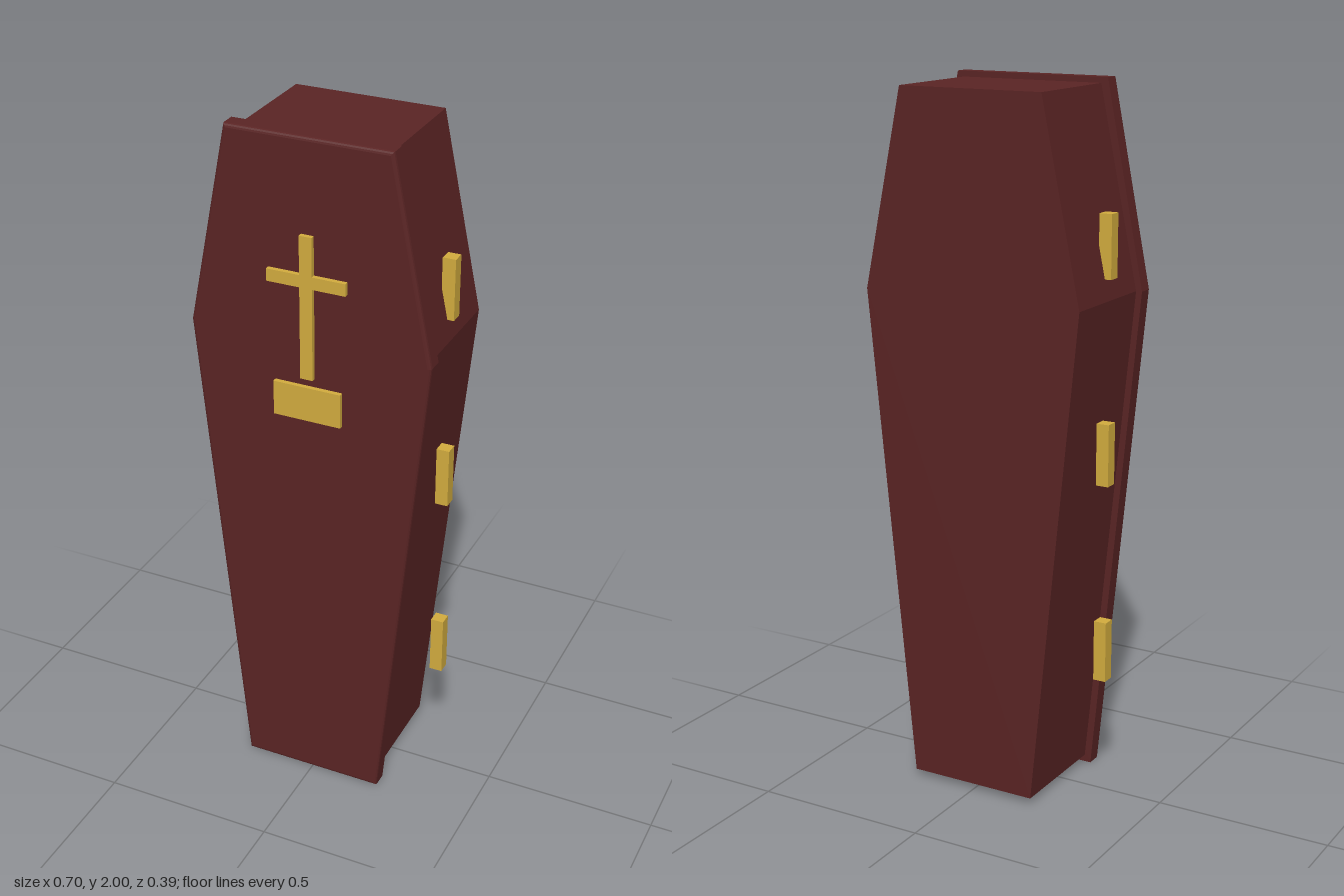
import * as THREE from 'three';

// Six-sided outline, counter-clockwise, from half-widths at foot, shoulder and head.
function outline(foot, shoulder, head, y0, y1, y2) {
  return [[-foot, y0], [foot, y0], [shoulder, y1], [head, y2], [-head, y2], [-shoulder, y1]]
    .map(([x, y]) => new THREE.Vector2(x, y));
}

// Move every side of a convex outline inwards by d.
function inset(points, d) {
  const n = points.length;
  return points.map((p, i) => {
    const a = p.clone().sub(points[(i + n - 1) % n]).normalize();
    const b = points[(i + 1) % n].clone().sub(p).normalize();
    const na = new THREE.Vector2(-a.y, a.x), nb = new THREE.Vector2(-b.y, b.x);
    return p.clone().addScaledVector(na.clone().add(nb), d / (1 + na.dot(nb)));
  });
}

// Closed solid through rings of [inset, z], ordered back to front, with crisp facets.
function loft(points, rings) {
  const loops = rings.map(([d, z]) => inset(points, d).map(p => [p.x, p.y, z]));
  const n = points.length, pos = [];
  const tri = (a, b, c) => pos.push(...a, ...b, ...c);
  for (let r = 0; r < loops.length - 1; r++) {
    for (let i = 0; i < n; i++) {
      const j = (i + 1) % n, lo = loops[r], hi = loops[r + 1];
      tri(lo[i], lo[j], hi[j]);
      tri(lo[i], hi[j], hi[i]);
    }
  }
  const back = loops[0], front = loops[loops.length - 1];
  for (let i = 1; i < n - 1; i++) {
    tri(back[0], back[i + 1], back[i]);
    tri(front[0], front[i], front[i + 1]);
  }
  const g = new THREE.BufferGeometry();
  g.setAttribute('position', new THREE.Float32BufferAttribute(pos, 3));
  g.computeVertexNormals();
  return g;
}

export function createModel() {
  const model = new THREE.Group();
  model.name = 'coffin';
  const wood = new THREE.MeshStandardMaterial({ name: 'dark red wood', color: 0x5a2424 });
  const gold = new THREE.MeshStandardMaterial({ name: 'gold', color: 0xd2ac3e });

  const add = (name, geometry, material, parent = model) => {
    const mesh = new THREE.Mesh(geometry, material);
    mesh.name = name;
    parent.add(mesh);
    return mesh;
  };
  const box = (name, w, h, d, x, y, z, parent) =>
    add(name, new THREE.BoxGeometry(w, h, d), gold, parent).position.set(x, y, z);

  // Body
  add('body', loft(outline(0.19, 0.33, 0.215, 0.02, 1.43, 1.984), [[0, -0.197], [0, 0.134]]), wood);

  // Lid with a rounded front rim
  const rim = 0.01, rings = [[0, 0.132]];
  for (let i = 0; i <= 3; i++) {
    const a = (i / 3) * Math.PI / 2;
    rings.push([rim * (1 - Math.cos(a)), 0.182 - rim + rim * Math.sin(a)]);
  }
  add('lid', loft(outline(0.209, 0.348, 0.235, 0, 1.43, 2), rings), wood);

  // Cross and name plate on the lid
  const cross = new THREE.Group();
  cross.name = 'cross';
  model.add(cross);
  box('crossUpright', 0.036, 0.41, 0.015, 0, 1.535, 0.188, cross);
  box('crossArm', 0.226, 0.035, 0.015, 0, 1.613, 0.188, cross);
  box('namePlate', 0.196, 0.1, 0.015, 0, 1.255, 0.188);

  // Three handles down each side
  for (const side of [1, -1]) {
    for (const y of [0.432, 1.003, 1.575]) {
      box(side > 0 ? 'leftHandle' : 'rightHandle', 0.037, 0.175, 0.037, side * 0.318, y, -0.014);
    }
  }
  return model;
}
